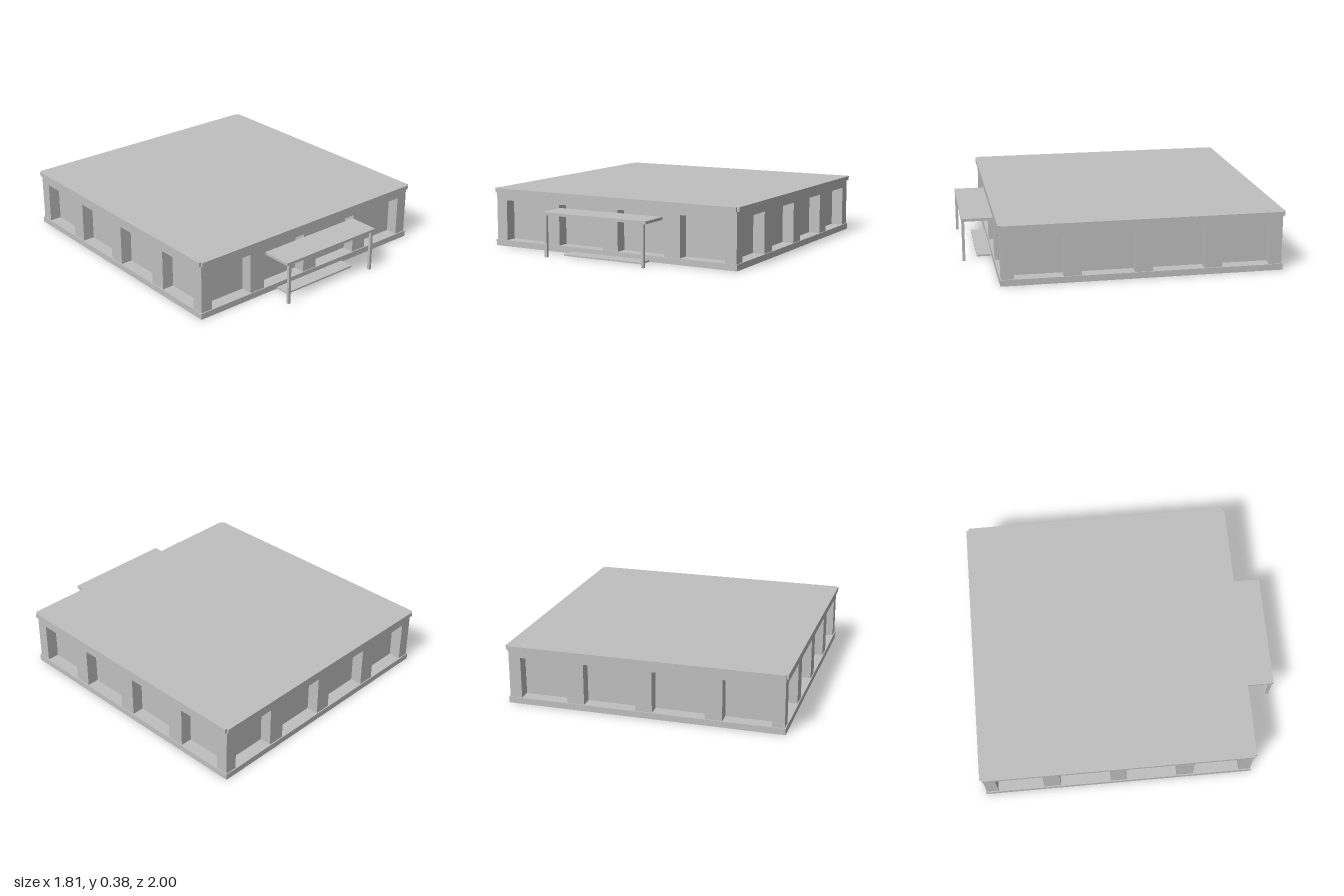
import * as THREE from 'three';

const HALF = 0.889;          // half width of the square hall
const CENTRE_Z = -0.092;     // hall sits behind the entrance canopy
const FRONT_Z = CENTRE_Z + HALF;
const PLINTH = 0.04, WINDOW_TOP = 0.308, EAVES = 0.356, ROOF = 0.385;
const DEPTH = 0.078;         // window recess
const BAYS = [[-0.81, -0.502], [-0.39, -0.055], [0.055, 0.39], [0.502, 0.81]];

export function createModel() {
  const model = new THREE.Group();
  model.name = 'pavilion';
  const concrete = new THREE.MeshStandardMaterial({ color: 0xc0c0c0 });
  concrete.name = 'pale grey';

  const add = (name, geometry, parent = model) => {
    const mesh = new THREE.Mesh(geometry, concrete);
    mesh.name = name;
    parent.add(mesh);
    return mesh;
  };
  // Box given by its limits on each axis
  const box = (name, x0, x1, y0, y1, z0, z1) =>
    add(name, new THREE.BoxGeometry(x1 - x0, y1 - y0, z1 - z0))
      .position.set((x0 + x1) / 2, (y0 + y1) / 2, (z0 + z1) / 2);

  // Plinth and the solid core behind the recesses
  const p = HALF + 0.007, c = HALF - DEPTH;
  box('plinth', -p, p, 0, PLINTH, CENTRE_Z - p, CENTRE_Z + p);
  box('core', -c, c, PLINTH, EAVES, CENTRE_Z - c, CENTRE_Z + c);

  // Four walls with bays rising from the plinth
  const wallGeometry = (half) => {
    const s = new THREE.Shape();
    s.moveTo(-half, PLINTH);
    for (const [a, b] of BAYS) {
      s.lineTo(a, PLINTH);
      s.lineTo(a, WINDOW_TOP);
      s.lineTo(b, WINDOW_TOP);
      s.lineTo(b, PLINTH);
    }
    s.lineTo(half, PLINTH);
    s.lineTo(half, EAVES);
    s.lineTo(-half, EAVES);
    s.closePath();
    return new THREE.ExtrudeGeometry(s, { depth: DEPTH, bevelEnabled: false })
      .translate(0, 0, HALF - DEPTH);
  };
  ['frontWall', 'leftWall', 'backWall', 'rightWall'].forEach((name, i) => {
    const wall = add(name, wallGeometry(i % 2 ? c : HALF));
    wall.position.z = CENTRE_Z;
    wall.rotation.y = i * Math.PI / 2;
  });

  // Roof slab with small square notches at the corners
  const r = HALF + 0.015, n = HALF;
  const outline = [[n, r], [n, n], [r, n]];
  const points = [];
  for (let i = 0; i < 4; i++) {
    const a = -i * Math.PI / 2, cos = Math.cos(a), sin = Math.sin(a);
    for (const [x, y] of outline) points.push(new THREE.Vector2(x * cos - y * sin, x * sin + y * cos));
  }
  const roof = add('roofSlab', new THREE.ExtrudeGeometry(new THREE.Shape(points),
    { depth: ROOF - EAVES, bevelEnabled: false }).rotateX(-Math.PI / 2));
  roof.position.set(0, EAVES, CENTRE_Z);

  // Entrance canopy, its posts and the low step
  box('canopy', -0.381, 0.381, 0.27, 0.288, FRONT_Z, 1);
  for (const side of [-1, 1]) {
    const x = side * 0.356;
    box(side > 0 ? 'leftPost' : 'rightPost', x - 0.009, x + 0.009, 0, 0.27, 0.98, 0.998);
  }
  box('entranceStep', -0.286, 0.286, 0, 0.011, FRONT_Z, 0.9);

  return model;
}
